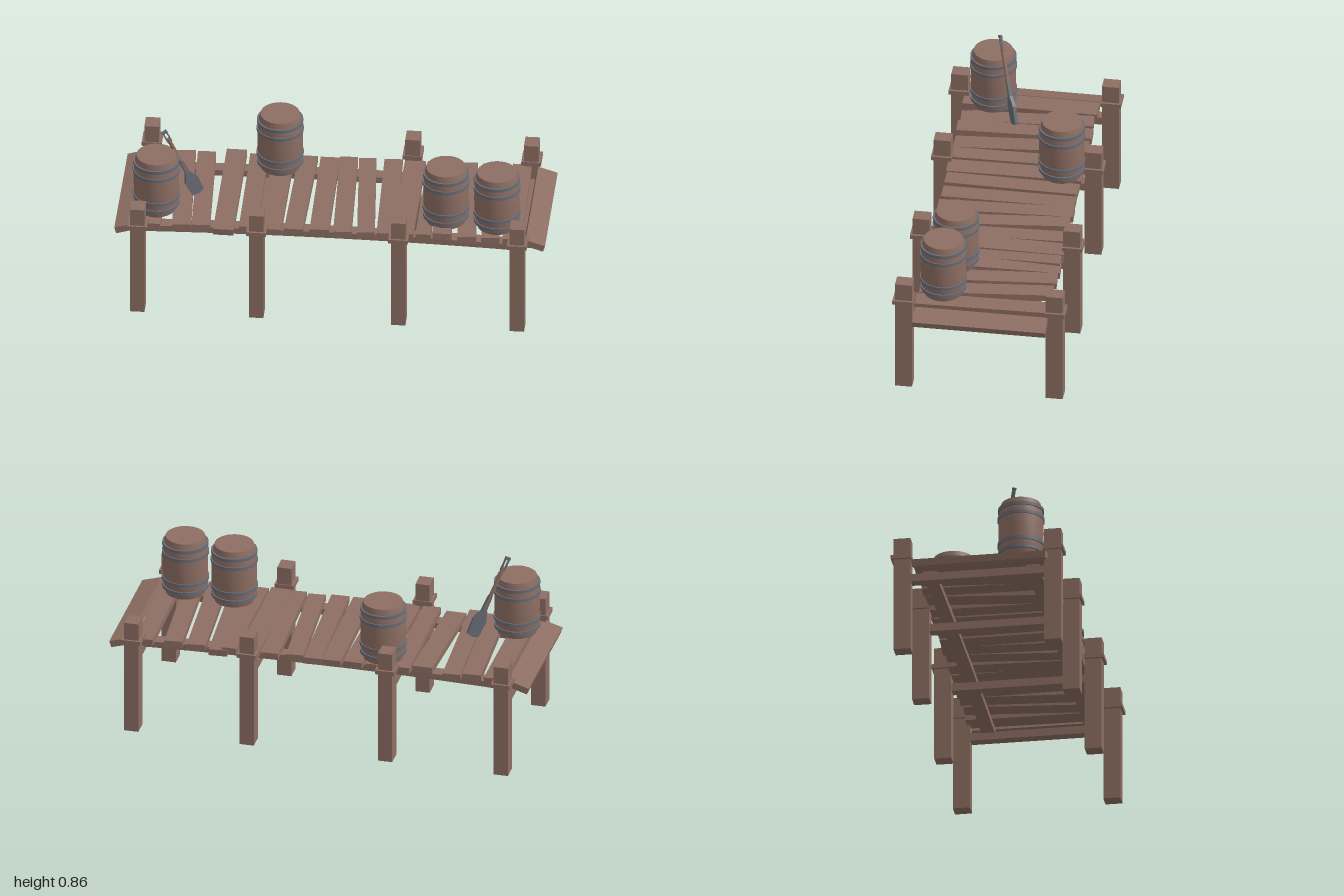
import * as THREE from 'three';

const wood = new THREE.MeshStandardMaterial({ color: 0x8d6e63 });
wood.name = 'wood';
const iron = new THREE.MeshStandardMaterial({ color: 0x696c75 });
iron.name = 'iron';

function add(parent, name, geometry, material, x = 0, y = 0, z = 0) {
  const mesh = new THREE.Mesh(geometry, material);
  mesh.name = name;
  mesh.position.set(x, y, z);
  parent.add(mesh);
  return mesh;
}
const box = (w, h, d) => new THREE.BoxGeometry(w, h, d);

// Long rail, slightly arched along its length
function railGeometry() {
  const g = new THREE.BoxGeometry(1.76, 0.03, 0.062, 12, 1, 1);
  const p = g.attributes.position;
  for (let i = 0; i < p.count; i++) {
    p.setY(i, p.getY(i) - 0.015 * (p.getX(i) / 0.88) ** 2);
  }
  g.computeVertexNormals();
  return g;
}

// Bulging barrel with lids and four hoops; origin at its base
function barrel() {
  const g = new THREE.Group();
  g.name = 'barrel';
  const profile = [[0.092, 0], [0.1, 0.03], [0.104, 0.07], [0.106, 0.145],
    [0.104, 0.22], [0.1, 0.258], [0.092, 0.29]].map(([r, y]) => new THREE.Vector2(r, y));
  add(g, 'staves', new THREE.LatheGeometry(profile, 28), wood);
  const disc = new THREE.CircleGeometry(0.092, 28);
  add(g, 'lid', disc, wood, 0, 0.29, 0).rotation.x = -Math.PI / 2;
  add(g, 'base', disc, wood).rotation.x = Math.PI / 2;
  for (const [y, r] of [[0.035, 0.108], [0.078, 0.11], [0.21, 0.11], [0.254, 0.108]]) {
    add(g, 'hoop', new THREE.CylinderGeometry(r, r, 0.016, 28), iron, 0, y, 0);
  }
  return g;
}

// Shovel along +y, blade at the bottom
function shovel() {
  const g = new THREE.Group();
  g.name = 'shovel';
  const s = new THREE.Shape();
  s.moveTo(-0.03, 0.01);
  s.lineTo(0, 0);
  s.lineTo(0.03, 0.01);
  s.lineTo(0.034, 0.09);
  s.lineTo(0.012, 0.14);
  s.lineTo(0.009, 0.22);
  s.lineTo(-0.009, 0.22);
  s.lineTo(-0.012, 0.14);
  s.lineTo(-0.034, 0.09);
  const blade = new THREE.ExtrudeGeometry(s, { depth: 0.016, bevelEnabled: false });
  add(g, 'blade', blade, iron, 0, 0, -0.008);
  add(g, 'shaft', new THREE.CylinderGeometry(0.009, 0.01, 0.23, 8), wood, 0, 0.26, 0);
  // Open grip
  for (const side of [-1, 1]) {
    add(g, 'gripArm', box(0.006, 0.07, 0.01), iron, side * 0.009, 0.39, 0);
  }
  add(g, 'gripBar', box(0.026, 0.012, 0.012), iron, 0, 0.422, 0);
  return g;
}

export function createModel() {
  const dock = new THREE.Group();
  dock.name = 'dock';

  // Posts with collars, and a cross beam joining each pair
  for (const x of [-0.89, -0.335, 0.328, 0.882]) {
    for (const side of [-1, 1]) {
      add(dock, 'post', box(0.068, 0.565, 0.08), wood, x, 0.2825, side * 0.354);
      add(dock, 'collar', box(0.092, 0.02, 0.096), wood, x, 0.469, side * 0.357);
    }
    add(dock, 'crossBeam', box(0.05, 0.038, 0.64), wood, x, 0.365, 0);
  }

  // Rails under the deck
  for (const z of [-0.23, 0.255]) add(dock, 'rail', railGeometry(), wood, 0, 0.409, z);

  // Planks: back x, front x, width, roll, pitch
  const planks = [
    [-0.945, -0.948, 0.105, 0.3, 0], [-0.835, -0.84, 0.1, -0.03, 0],
    [-0.725, -0.69, 0.088, 0, 0.01], [-0.63, -0.6, 0.085, 0, -0.01],
    [-0.49, -0.495, 0.095, 0, 0.055], [-0.385, -0.38, 0.085, 0, 0],
    [-0.272, -0.275, 0.1, 0, 0.01], [-0.157, -0.168, 0.088, 0, 0],
    [-0.055, -0.048, 0.09, 0, -0.01], [0.032, 0.06, 0.085, 0, 0],
    [0.12, 0.17, 0.082, 0, 0.01], [0.24, 0.262, 0.085, 0, 0],
    [0.342, 0.34, 0.098, 0, -0.01], [0.435, 0.435, 0.07, 0, 0],
    [0.485, 0.525, 0.088, 0, -0.04], [0.59, 0.64, 0.088, 0, 0],
    [0.7, 0.75, 0.085, 0, 0.01], [0.84, 0.85, 0.088, -0.03, 0],
    [0.955, 0.955, 0.095, -0.3, 0],
  ];
  planks.forEach(([back, front, width, roll, pitch], i) => {
    const x = (back + front) / 2;
    const length = 0.628 + 0.008 * Math.sin(i * 2.3);
    const y = roll ** 2 > 0.05 ? 0.419 : 0.438;
    const plank = add(dock, 'plank', box(width, 0.032, length), wood, x, y, 0.003 - 0.015 * x);
    plank.rotation.set(pitch, Math.atan2(front - back, length), roll, 'YXZ');
  });

  // Barrels
  [[-0.82, 0.19], [-0.28, -0.212], [0.53, 0.165], [0.77, 0.188]].forEach(([x, z], i) => {
    const b = barrel();
    b.position.set(x, 0.455, z);
    b.rotation.y = i;
    dock.add(b);
  });

  // Shovel leaning on the left barrel
  const tool = shovel();
  tool.position.set(-0.635, 0.462, 0.062);
  const lean = new THREE.Vector3(-0.15, 0.383, 0.09).normalize();
  tool.quaternion.setFromUnitVectors(new THREE.Vector3(0, 1, 0), lean);
  tool.rotateY(0.55);
  dock.add(tool);

  return dock;
}
